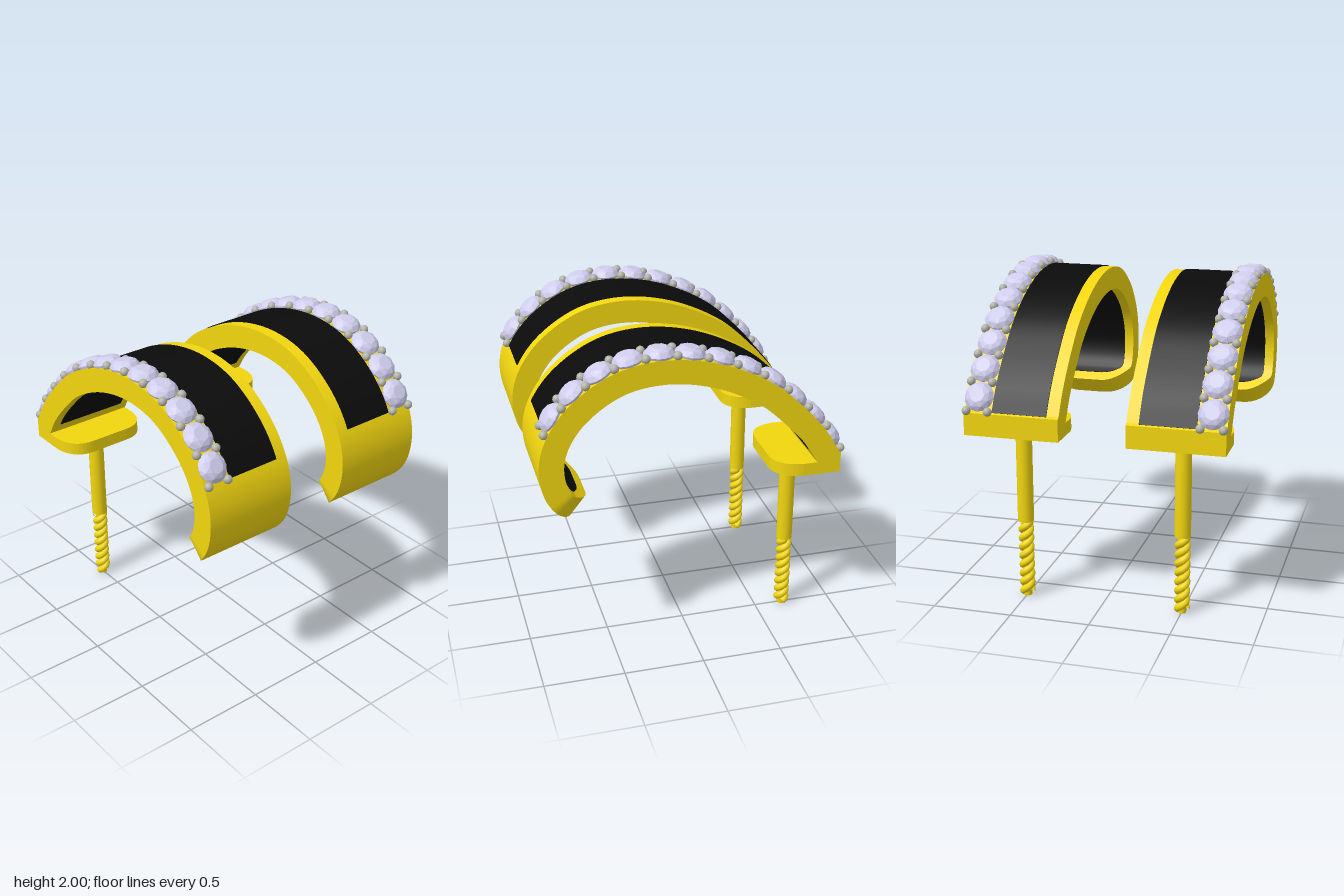
import * as THREE from 'three';
import { toCreasedNormals } from 'three/addons/utils/BufferGeometryUtils.js';
import { ConvexGeometry } from 'three/addons/geometries/ConvexGeometry.js';

const gold = new THREE.MeshStandardMaterial({ color: 0xf2d60f });
const black = new THREE.MeshStandardMaterial({ color: 0x0b0b0b });
const stoneMat = new THREE.MeshStandardMaterial({ color: 0xcfcdec, flatShading: true });
const beadMat = new THREE.MeshStandardMaterial({ color: 0xb4b4aa });

const HALF = 0.295, THICK = 0.147;
const POST_Z = -0.68;

// Outer profile of the band as (z, y), from the back heel to the curled front tip
const profile = new THREE.CatmullRomCurve3([
  [-0.895, 1.235], [-0.80, 1.39], [-0.64, 1.57], [-0.45, 1.735], [-0.13, 1.89], [0.2, 1.945], [0.49, 1.895],
  [0.75, 1.725], [0.89, 1.53], [0.935, 1.35], [0.91, 1.17], [0.84, 1.05], [0.73, 0.957],
].map(([z, y]) => new THREE.Vector3(0, y, z)));
const LENGTH = profile.getLength();

// Point at fraction u along the profile, lifted d outwards, with its outward normal
function frame(u, d) {
  const p = profile.getPointAt(u), t = profile.getTangentAt(u);
  const n = new THREE.Vector3(0, t.z, -t.y);
  return { p: p.addScaledVector(n, d), n };
}

// Half width of a strip whose end is rounded with radius r, at distance s from that end
function roundedHalf(half, r, s) {
  if (s >= r) return half;
  return half - r + Math.sqrt(Math.max(0, r * r - (r - s) * (r - s)));
}

// Closed strip following the profile between two lifts; edges(u) gives its two x limits
function strip(u0, u1, dOut, dIn, edges) {
  const steps = 90, pos = [], idx = [];
  for (let i = 0; i <= steps; i++) {
    const u = u0 + (u1 - u0) * (1 - Math.pow(1 - i / steps, 1.5));
    const o = frame(u, dOut).p, n = frame(u, dIn).p;
    const [a, b] = edges(u);
    pos.push(a, o.y, o.z, b, o.y, o.z, b, n.y, n.z, a, n.y, n.z);
    if (i === steps) break;
    for (let k = 0; k < 4; k++) {
      const c = i * 4 + k, d = i * 4 + (k + 1) % 4;
      idx.push(c, c + 4, d, d, c + 4, d + 4);
    }
  }
  const e = steps * 4;
  idx.push(0, 1, 2, 0, 2, 3, e, e + 2, e + 1, e, e + 3, e + 2);
  const g = new THREE.BufferGeometry();
  g.setAttribute('position', new THREE.Float32BufferAttribute(pos, 3));
  g.setIndex(idx);
  return toCreasedNormals(g, 0.6);
}

// Faceted round stone: base, girdle, staggered crown and table rings
function stoneGeometry() {
  const pts = [];
  for (const [r, y, n, shift] of [[0.08, -0.015, 16, 0], [0.092, 0.014, 16, 0], [0.074, 0.042, 8, 0.5], [0.045, 0.056, 8, 0]]) {
    for (let i = 0; i < n; i++) {
      const a = (i + shift) / n * Math.PI * 2;
      pts.push(new THREE.Vector3(Math.cos(a) * r, y, Math.sin(a) * r));
    }
  }
  return new ConvexGeometry(pts);
}

// Base plate: square at the back, rounded at the front
function plateGeometry() {
  const s = new THREE.Shape(), r = 0.17, back = 0.905, front = 0.5;
  s.moveTo(-HALF, back);
  s.lineTo(-HALF, front + r);
  s.quadraticCurveTo(-HALF + 0.02, front, -HALF + r, front);
  s.lineTo(HALF - r, front);
  s.quadraticCurveTo(HALF - 0.02, front, HALF, front + r);
  s.lineTo(HALF, back);
  s.closePath();
  const g = new THREE.ExtrudeGeometry(s, { depth: 0.08, bevelEnabled: false, curveSegments: 10 });
  g.rotateX(-Math.PI / 2);
  g.translate(0, 1.1, 0);
  return g;
}

// Heel joining the back end of the band to the plate, drawn as (-z, y)
function heelGeometry() {
  const s = new THREE.Shape([[0.905, 1.1], [0.905, 1.24], [0.885, 1.25], [0.772, 1.21], [0.765, 1.1]]
    .map(([a, b]) => new THREE.Vector2(a, b)));
  const g = new THREE.ExtrudeGeometry(s, { depth: HALF * 2, bevelEnabled: false });
  g.translate(0, 0, -HALF);
  g.rotateY(Math.PI / 2);
  return g;
}

// One strand of the twisted screw end
function strandGeometry(phase) {
  const pts = [], turns = 4, n = 64;
  for (let i = 0; i <= n; i++) {
    const a = -i / n * turns * Math.PI * 2 + phase;
    pts.push(new THREE.Vector3(Math.cos(a) * 0.027, 0.02 + i / n * 0.475, Math.sin(a) * 0.027));
  }
  return new THREE.TubeGeometry(new THREE.CatmullRomCurve3(pts), 128, 0.023, 8);
}

function buildEarring(side) {
  const g = new THREE.Group();
  const add = (name, geo, mat, x = 0, y = 0, z = 0) => {
    const m = new THREE.Mesh(geo, mat);
    m.name = name;
    m.position.set(x, y, z);
    g.add(m);
    return m;
  };

  // Curved band with rounded tip
  add('band', strip(0, 1, 0, -THICK, u => {
    const w = roundedHalf(HALF, 0.2, (1 - u) * LENGTH);
    return [-w, w];
  }), gold);

  // Outer and inner black inlays
  const span = [-0.22 * side, 0.12 * side].sort((a, b) => a - b);
  add('outerInlay', strip(0.004, 0.765, 0.006, -0.01, () => span), black);
  const lip = 0.06;
  add('innerInlay', strip(0.035, 1 - lip / LENGTH, -THICK + 0.01, -THICK - 0.004, u => {
    const w = roundedHalf(HALF - lip, 0.15, (1 - u) * LENGTH - lip);
    return [-w, w];
  }), black);

  // Row of stones with pairs of holding beads between them
  const count = 12, u0 = 0.004, u1 = 0.764;
  const stone = stoneGeometry(), bead = new THREE.SphereGeometry(0.027, 12, 8);
  for (let i = 0; i <= count; i++) {
    const b = frame(u0 + (u1 - u0) * i / count, 0.018).p;
    for (const x of [0.142, 0.276]) add('bead', bead, beadMat, x * side, b.y, b.z);
    if (i === count) break;
    const { p, n } = frame(u0 + (u1 - u0) * (i + 0.5) / count, 0);
    const m = add('stone', stone, stoneMat, 0.209 * side, p.y, p.z);
    m.rotation.x = Math.atan2(n.z, n.y);
    m.rotateY(i * 0.7);
  }

  // Base plate, heel and post
  add('basePlate', plateGeometry(), gold);
  add('heel', heelGeometry(), gold);
  add('post', new THREE.CylinderGeometry(0.05, 0.05, 0.6, 20), gold, 0, 0.8, POST_Z);
  add('screwCore', new THREE.CylinderGeometry(0.028, 0.028, 0.5, 12), gold, 0, 0.25, POST_Z);
  for (const phase of [0, Math.PI]) add('screwStrand', strandGeometry(phase), gold, 0, 0, POST_Z);

  g.position.x = 0.5 * side;
  return g;
}

export function createModel() {
  const model = new THREE.Group();
  model.name = 'earringPair';
  for (const side of [1, -1]) {
    const e = buildEarring(side);
    e.name = side > 0 ? 'leftEarring' : 'rightEarring';
    model.add(e);
  }
  return model;
}
